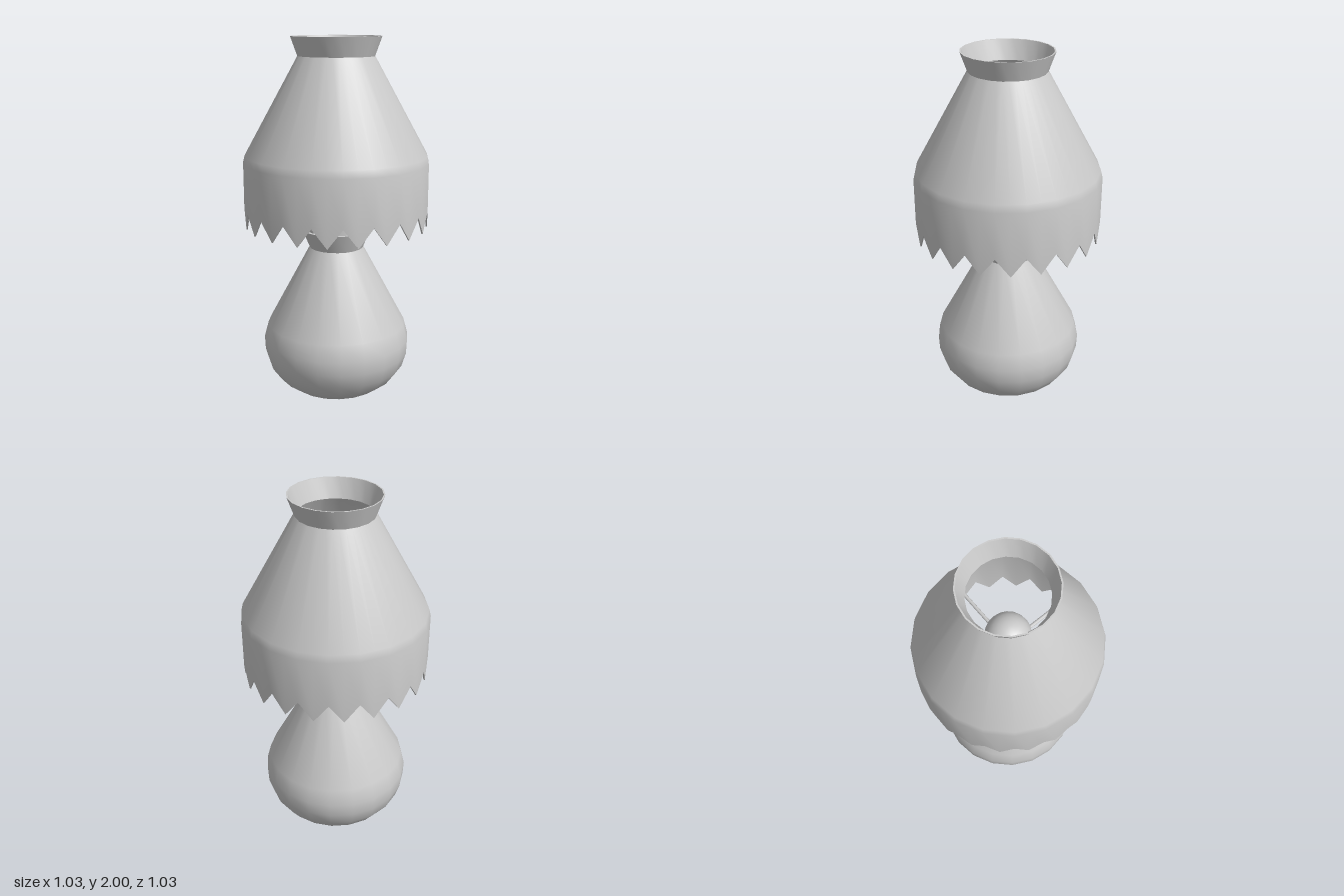
import * as THREE from 'three';
import { toCreasedNormals } from 'three/addons/utils/BufferGeometryUtils.js';

const SIDES = 20;
const material = new THREE.MeshStandardMaterial({ color: 0xcccccc });
const shadeMaterial = new THREE.MeshStandardMaterial({ color: 0xcccccc, side: THREE.DoubleSide });

const lathe = (points, segments = SIDES) =>
  new THREE.LatheGeometry(points.map(([r, y]) => new THREE.Vector2(r, y)), segments);

function add(group, name, geometry, mat = material) {
  const mesh = new THREE.Mesh(geometry, mat);
  mesh.name = name;
  group.add(mesh);
  return mesh;
}

// Straight round rod between two points
function rod(from, to, radius) {
  const a = new THREE.Vector3(...from);
  const b = new THREE.Vector3(...to);
  const dir = b.clone().sub(a);
  const geometry = new THREE.CylinderGeometry(radius, radius, dir.length(), 8);
  geometry.applyQuaternion(new THREE.Quaternion().setFromUnitVectors(
    new THREE.Vector3(0, 1, 0), dir.normalize()));
  const mid = a.add(b).multiplyScalar(0.5);
  return geometry.translate(mid.x, mid.y, mid.z);
}

// Thin-walled shade; every second column lies mid-facet and drops to a tooth tip
function shadeGeometry() {
  const notchY = 1.06, tipY = 0.955, wall = 0.008;
  const outer = [[0.517, notchY], [0.517, 1.32], [0.507, 1.36], [0.211, 1.895], [0.249, 2]];
  const inner = outer.map(([r, y]) => [r - wall, y]).reverse();
  const profile = [...outer, ...inner, outer[0]];
  const geometry = lathe(profile, SIDES * 2);
  const pos = geometry.attributes.position;
  const inset = Math.cos(Math.PI / SIDES);
  for (let i = 0; i < pos.count; i++) {
    const column = Math.floor(i / profile.length);
    if (column % 2 === 0) continue;
    pos.setX(i, pos.getX(i) * inset);
    pos.setZ(i, pos.getZ(i) * inset);
    if (pos.getY(i) < notchY + 0.01) pos.setY(i, tipY);
  }
  return toCreasedNormals(geometry, 0.7);
}

export function createModel() {
  const lamp = new THREE.Group();
  lamp.name = 'tableLamp';

  // Pear-shaped body with a flared neck
  add(lamp, 'base', toCreasedNormals(lathe([
    [0, 0], [0.26, 0], [0.335, 0.055], [0.39, 0.13], [0.415, 0.21], [0.419, 0.29],
    [0.395, 0.38], [0.153, 0.83], [0.196, 0.935], [0, 0.935],
  ]), 0.7));

  // Collar set in the neck
  add(lamp, 'collar', new THREE.CylinderGeometry(0.178, 0.178, 0.1, SIDES).translate(0, 0.95, 0));

  // Socket and bulb
  add(lamp, 'socket', new THREE.CylinderGeometry(0.06, 0.06, 0.1, 12).translate(0, 1.27, 0));
  add(lamp, 'bulb', new THREE.SphereGeometry(0.125, SIDES, 14).translate(0, 1.41, 0));

  // Four slanted struts carry the socket, four level arms hold the shade
  for (let i = 0; i < 4; i++) {
    const frame = new THREE.Group();
    frame.name = 'frame' + (i + 1);
    frame.rotation.y = i * Math.PI / 2;
    add(frame, 'strut', rod([0.155, 0.99, 0], [0.05, 1.25, 0], 0.01));
    add(frame, 'shadeArm', rod([0.03, 1.29, 0], [0.511, 1.29, 0], 0.01));
    lamp.add(frame);
  }

  add(lamp, 'shade', shadeGeometry(), shadeMaterial);
  return lamp;
}
